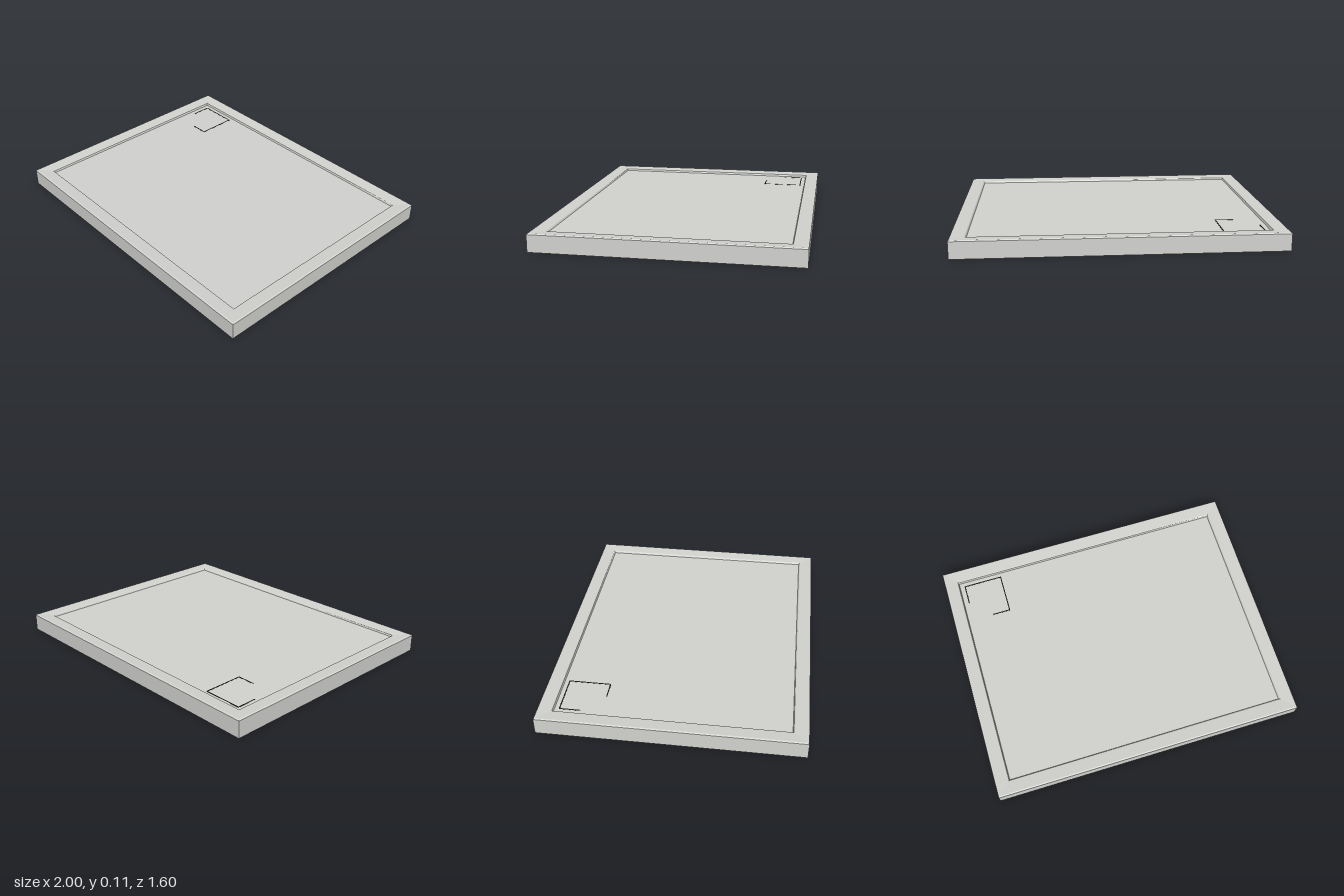
import * as THREE from 'three';

const HX = 1, HZ = 0.8;
// Floor falls gently towards the drain corner
const floorY = (x, z) => 0.09 + 0.002 * (x + 0.9) + 0.002 * (z + 0.7);

// Four corners of a rectangle inset from the outline, anticlockwise from above
function loop(inset, y) {
  const x = HX - inset, z = HZ - inset;
  return [[-x, z], [x, z], [x, -z], [-x, -z]].map(([px, pz]) =>
    new THREE.Vector3(px, y === null ? floorY(px, pz) : y, pz));
}

function facesToGeometry(quads) {
  const points = quads.flatMap(([a, b, c, d]) => [a, b, c, a, c, d]);
  const geometry = new THREE.BufferGeometry().setFromPoints(points);
  geometry.computeVertexNormals();
  return geometry;
}

// Skin joining successive rectangular loops
function skin(loops) {
  const quads = [];
  for (let i = 0; i + 1 < loops.length; i++) {
    for (let k = 0; k < 4; k++) {
      const n = (k + 1) % 4;
      quads.push([loops[i][k], loops[i][n], loops[i + 1][n], loops[i + 1][k]]);
    }
  }
  return facesToGeometry(quads);
}

export function createModel() {
  const group = new THREE.Group();
  const trayGrey = new THREE.MeshStandardMaterial({ color: 0xd3d3d0 });
  trayGrey.name = 'trayGrey';
  const black = new THREE.MeshStandardMaterial({ color: 0x1c1c1c });
  black.name = 'black';

  const add = (name, geometry, material, x = 0, y = 0, z = 0) => {
    const mesh = new THREE.Mesh(geometry, material);
    mesh.name = name;
    mesh.position.set(x, y, z);
    group.add(mesh);
    return mesh;
  };

  // Outer walls, softened top edge, inward-falling rim and basin wall
  const profile = [[0, 0], [0, 0.106], [0.003, 0.110], [0.009, 0.112],
    [0.084, 0.107], [0.089, 0.104], [0.094, null]];
  add('rimAndWalls', skin(profile.map(([inset, y]) => loop(inset, y))), trayGrey);

  // Basin floor
  add('basinFloor', facesToGeometry([loop(0.094, null)]), trayGrey);

  // Underside
  add('underside', facesToGeometry([loop(0, 0.001).reverse()]), black);

  // Drain outlet ring, seen from below
  const ring = add('drainRing', new THREE.RingGeometry(0.068, 0.096, 40), trayGrey, -0.745, 0, -0.55);
  ring.rotation.x = Math.PI / 2;

  // Shadow gap around the square drain cover: centre x, z, length x, length z
  const gap = 0.007;
  const gaps = [
    [-0.745, -0.677, 0.25, gap],
    [-0.62, -0.55, gap, 0.26],
    [-0.675, -0.42, 0.117, gap],
    [-0.872, -0.613, gap, 0.13],
  ];
  for (const [x, z, w, d] of gaps) {
    add('drainCoverGap', new THREE.BoxGeometry(w, 0.002, d), black, x, floorY(x, z), z);
  }
  return group;
}
